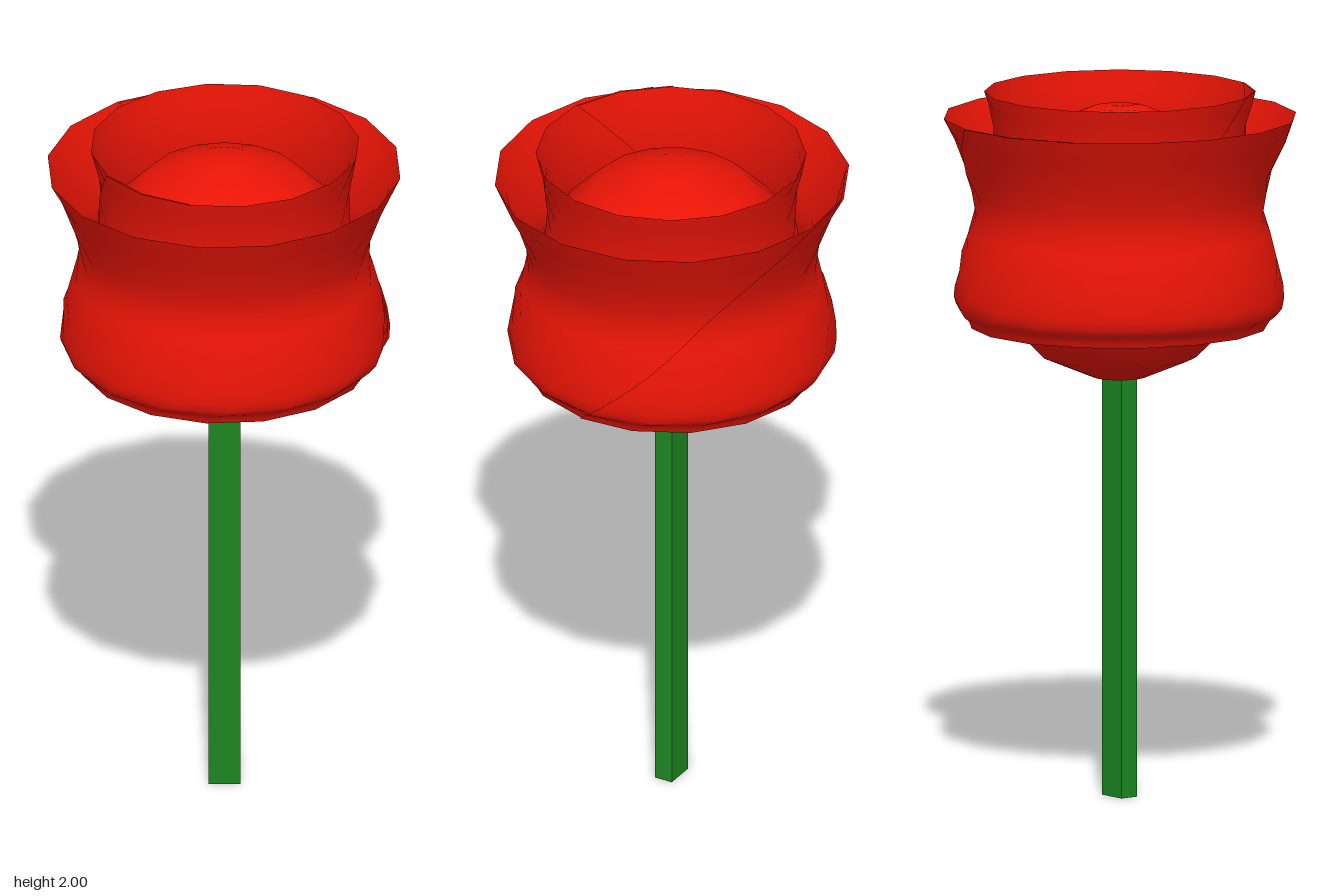
import * as THREE from 'three';
import { ParametricGeometry } from 'three/addons/geometries/ParametricGeometry.js';

const red = new THREE.MeshStandardMaterial({ color: 0xe81406, side: THREE.DoubleSide });
const green = new THREE.MeshStandardMaterial({ color: 0x1c8621 });
const rad = THREE.MathUtils.degToRad;

// A thin petal sheet wrapped a little more than one turn, its seam slanting round the flower
function petal(name, profile, seam, slant) {
  const curve = new THREE.SplineCurve(profile.map(([r, y]) => new THREE.Vector2(r, y)));
  const top = profile[profile.length - 1][1];
  const point = new THREE.Vector2();
  const slices = 18; // 16 per turn, plus the overlap
  const geometry = new ParametricGeometry((u, v, target) => {
    curve.getPoint(v, point);
    const angle = rad(seam - slant * (top - point.y)) + u * (slices / 16) * Math.PI * 2;
    const r = point.x * (1 - 0.014 * u);
    target.set(r * Math.sin(angle), point.y, r * Math.cos(angle));
  }, slices, 14);
  const mesh = new THREE.Mesh(geometry, red);
  mesh.name = name;
  return mesh;
}

export function createModel() {
  const flower = new THREE.Group();
  flower.name = 'flower';

  // Flat rectangular stem
  const stem = new THREE.Mesh(new THREE.BoxGeometry(0.09, 1.2, 0.055), green);
  stem.position.y = 0.6;
  stem.name = 'stem';
  flower.add(stem);

  // Round bud with small flat ends, filling the inner petal
  const radius = 0.39;
  const budPoints = [new THREE.Vector2(0, -radius * Math.cos(rad(11.25)))];
  for (let i = 0; i < 8; i++) {
    const a = rad(11.25 + 22.5 * i);
    budPoints.push(new THREE.Vector2(radius * Math.sin(a), -radius * Math.cos(a)));
  }
  budPoints.push(new THREE.Vector2(0, radius * Math.cos(rad(11.25))));
  const bud = new THREE.Mesh(new THREE.LatheGeometry(budPoints, 16), red);
  bud.position.y = 1.573;
  bud.name = 'bud';
  flower.add(bud);

  // Inner petal stands higher, outer petal flares wide
  flower.add(petal('innerPetal', [
    [0.375, 1.38], [0.405, 1.42], [0.412, 1.5], [0.39, 1.62],
    [0.355, 1.76], [0.358, 1.89], [0.382, 2.0],
  ], 300, 150));
  flower.add(petal('outerPetal', [
    [0.42, 1.335], [0.432, 1.36], [0.462, 1.39], [0.463, 1.45], [0.445, 1.54],
    [0.411, 1.66], [0.432, 1.77], [0.502, 1.93],
  ], 172, 150));

  return flower;
}
